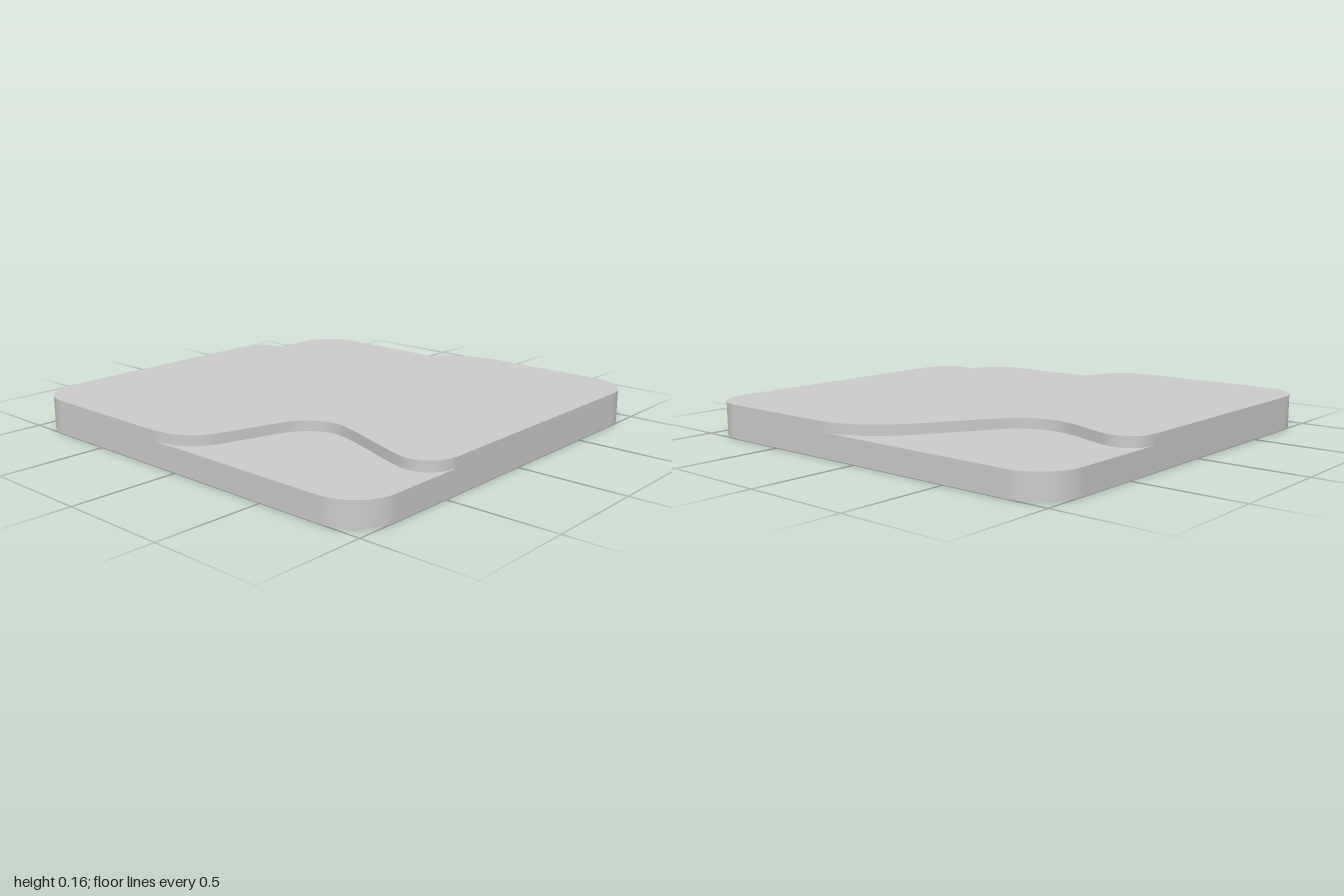
import * as THREE from 'three';

const LEDGE = 0.11, TOP = 0.157, RADIUS = 0.2;
const material = new THREE.MeshStandardMaterial({ color: 0xcccccc, side: THREE.DoubleSide });

// Plan points are (x, -z), so loops run counter-clockwise seen from above.
function corner(quarter) {
  const mid = (quarter + 0.5) * Math.PI / 2;
  const cx = Math.sign(Math.cos(mid)) * (1 - RADIUS), cy = Math.sign(Math.sin(mid)) * (1 - RADIUS);
  return Array.from({ length: 13 }, (_, i) => {
    const a = (quarter + i / 12) * Math.PI / 2;
    return new THREE.Vector2(cx + RADIUS * Math.cos(a), cy + RADIUS * Math.sin(a));
  });
}

// Smooth wavy edge through a few [x, z] points
function wave(points) {
  const curve = new THREE.CatmullRomCurve3(points.map(([x, z]) => new THREE.Vector3(x, -z, 0)), false, 'centripetal');
  return curve.getPoints((points.length - 1) * 4)
    .map(p => new THREE.Vector2(THREE.MathUtils.clamp(p.x, -1, 1), THREE.MathUtils.clamp(p.y, -1, 1)));
}

function sheet(name, loop, y) {
  const geometry = new THREE.ShapeGeometry(new THREE.Shape(loop));
  geometry.rotateX(-Math.PI / 2).translate(0, y, 0);
  const mesh = new THREE.Mesh(geometry, material);
  mesh.name = name;
  return mesh;
}

// Upright band following a closed loop
function wall(name, loop, y0, y1) {
  const positions = [], index = [];
  loop.forEach((p, i) => {
    positions.push(p.x, y0, -p.y, p.x, y1, -p.y);
    const a = 2 * i, b = 2 * ((i + 1) % loop.length);
    index.push(a, b, b + 1, a, b + 1, a + 1);
  });
  const geometry = new THREE.BufferGeometry();
  geometry.setAttribute('position', new THREE.Float32BufferAttribute(positions, 3));
  geometry.setIndex(index);
  geometry.computeVertexNormals();
  const mesh = new THREE.Mesh(geometry, material);
  mesh.name = name;
  return mesh;
}

export function createModel() {
  const group = new THREE.Group();
  group.name = 'steppedTile';

  const frontWave = wave([
    [-1, -0.12], [-0.973, -0.01], [-0.93, 0.05], [-0.87, 0.09], [-0.53, 0.2], [-0.49, 0.23], [-0.455, 0.27],
    [-0.43, 0.33], [-0.43, 0.41], [-0.56, 0.79], [-0.575, 0.86], [-0.56, 0.93], [-0.507, 0.98], [-0.44, 1],
  ]);
  const backWave = wave([
    [0.325, -1], [0.395, -0.985], [0.437, -0.94], [0.453, -0.88], [0.442, -0.82], [0.373, -0.625], [0.362, -0.57],
    [0.364, -0.495], [0.415, -0.373], [0.48, -0.325], [0.823, -0.11], [0.9, -0.04], [0.957, 0.045], [0.99, 0.137], [1, 0.2],
  ]);
  const [backRight, backLeft, frontLeft, frontRight] = [0, 1, 2, 3].map(corner);

  // Open-bottomed base rim
  group.add(wall('baseRim', [...backRight, ...backLeft, ...frontLeft, ...frontRight], 0, LEDGE));

  // Two sunken corner ledges
  group.add(sheet('frontLedge', [...[...frontWave].reverse(), ...frontLeft], LEDGE));
  group.add(sheet('backLedge', [...backWave, ...backRight], LEDGE));

  // Raised plate between the wavy edges
  const plate = [...frontRight, ...[...backWave].reverse(), ...backLeft, ...frontWave];
  group.add(wall('plateEdge', plate, LEDGE, TOP), sheet('plateTop', plate, TOP));

  return group;
}
